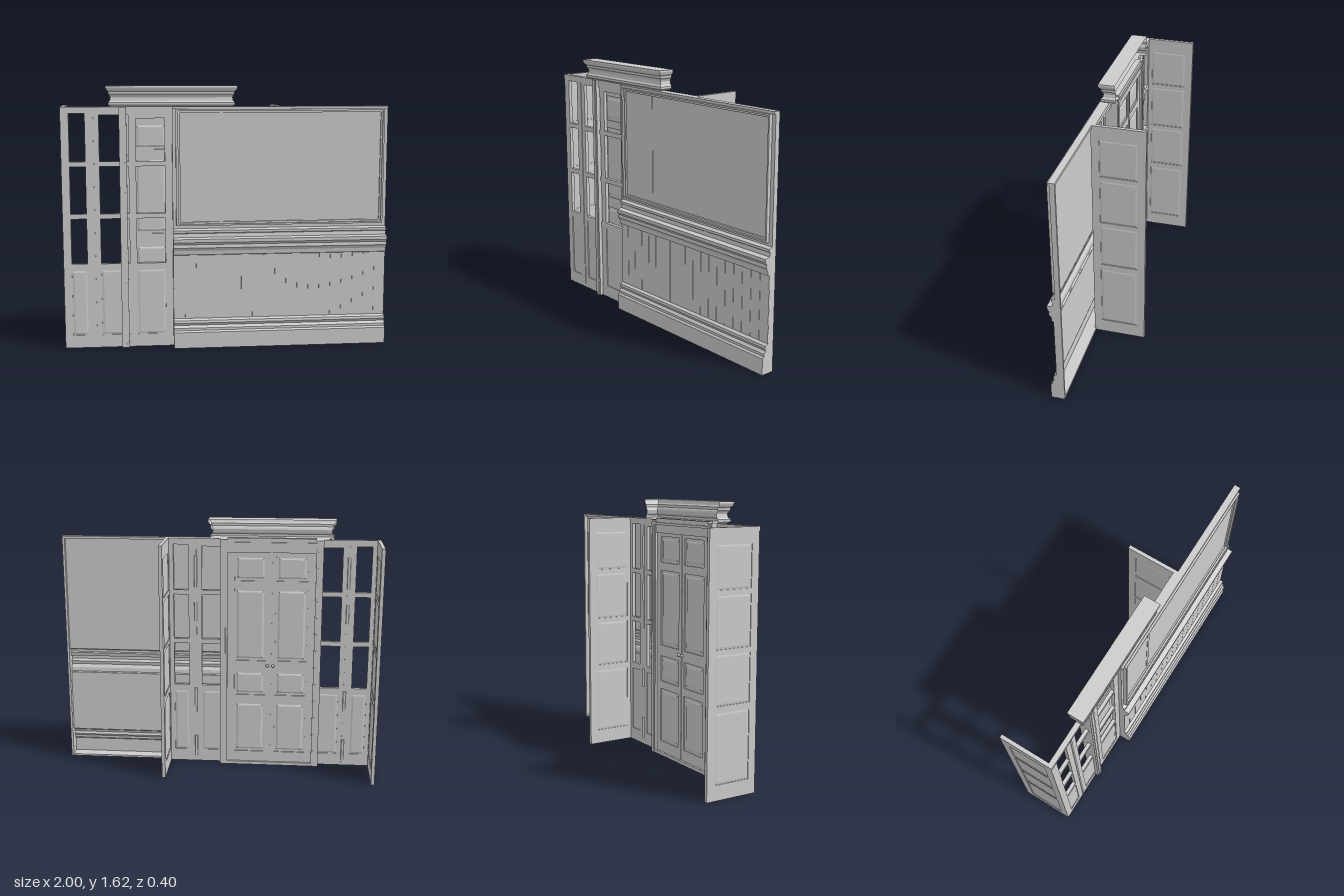
import * as THREE from 'three';

const CX = -0.33; // centre line of the screen and doorway
const H = 1.49;

export function createModel() {
  const root = new THREE.Group();
  const mat = new THREE.MeshStandardMaterial({ color: 0xcccccc, side: THREE.DoubleSide });

  const add = (parent, name, geo, x = 0, y = 0, z = 0) => {
    const m = new THREE.Mesh(geo, mat);
    m.name = name;
    m.position.set(x, y, z);
    parent.add(m);
    return m;
  };
  const group = (name, x = 0) => {
    const g = new THREE.Group();
    g.name = name;
    g.position.x = x;
    root.add(g);
    return g;
  };
  // box given by its limits
  const box = (parent, name, x0, x1, y0, y1, z0, z1) =>
    add(parent, name, new THREE.BoxGeometry(x1 - x0, y1 - y0, z1 - z0),
      (x0 + x1) / 2, (y0 + y1) / 2, (z0 + z1) / 2);

  const trace = (path, x0, x1, y0, y1) =>
    path.moveTo(x0, y0).lineTo(x1, y0).lineTo(x1, y1).lineTo(x0, y1).closePath();

  // flat board pierced by rectangular openings [x0, x1, y0, y1]
  const pierced = (parent, name, [x0, x1, y0, y1], holes, z0, z1) => {
    const s = new THREE.Shape();
    trace(s, x0, x1, y0, y1);
    for (const h of holes) {
      const p = new THREE.Path();
      trace(p, ...h);
      s.holes.push(p);
    }
    return add(parent, name, new THREE.ExtrudeGeometry(s, { depth: z1 - z0, bevelEnabled: false }), 0, 0, z0);
  };

  // sunk panel with a raised, bevelled field on both faces
  const panel = (parent, name, [x0, x1, y0, y1], zMid, t, margin, rise) => {
    box(parent, name, x0, x1, y0, y1, zMid - t / 2, zMid + t / 2);
    const s = new THREE.Shape();
    trace(s, x0 + margin, x1 - margin, y0 + margin, y1 - margin);
    add(parent, name + 'Field', new THREE.ExtrudeGeometry(s, {
      depth: t, bevelEnabled: true, bevelThickness: rise, bevelSize: 0.01, bevelSegments: 1,
    }), 0, 0, zMid - t / 2);
  };

  // ---- glazed screen, symmetrical about the centre line ----
  const screen = group('glazedScreen', CX);
  const bays = [[-0.62, -0.525, 1.45], [-0.44, -0.265, 1.44], [-0.22, -0.045, 1.42]];
  const rows = [[0.53, 0.81], [0.84, 1.13], [1.16, 0]];
  const openings = [], lower = [];
  for (const [a, b, top] of bays) {
    for (const [l, r] of [[a, b], [-b, -a]]) {
      rows.forEach(([y0, y1]) => openings.push([l, r, y0, y1 || top]));
      lower.push([l, r, 0.08, 0.49]);
    }
  }
  pierced(screen, 'screenFrame', [-0.67, 0.67, 0, H], [...openings, ...lower], 0.105, 0.128);
  lower.forEach((r) => panel(screen, 'lowerPanel', r, 0.1165, 0.012, 0.014, 0.003));
  box(screen, 'screenTopRail', -0.67, 0.67, 1.465, H, 0.101, 0.132);

  // leaf joints with hinges
  for (const s of [-1, 1]) {
    box(screen, 'leafJoint', s * 0.48 - 0.006, s * 0.48 + 0.006, 0.02, 1.45, 0.102, 0.132);
    for (const [y, len] of [[0.11, 0.14], [0.45, 0.12], [1.02, 0.12], [1.28, 0.2]])
      add(screen, 'hinge', new THREE.CylinderGeometry(0.009, 0.009, len, 8), s * 0.48, y, 0.104);
  }

  // ---- return wings ----
  const wingRows = [[0.09, 0.49], [0.53, 0.81], [0.84, 1.13], [1.16, 1.4]]
    .map(([a, b]) => [-0.08, 0.15, a, b]);
  for (const x of [-1, 0.318]) {
    const wing = group('sideWing', x);
    wing.rotation.y = Math.PI / 2;
    pierced(wing, 'wingFrame', [-0.128, 0.2, 0, H], wingRows, 0, 0.022);
    wingRows.forEach((r) => panel(wing, 'wingPanel', r, 0.011, 0.014, 0.012, 0.002));
  }

  // ---- double door with its case ----
  const door = group('doubleDoor', CX);
  const doorPanels = [];
  for (const [y0, y1] of [[0.09, 0.43], [0.48, 0.64], [0.71, 1.18], [1.23, 1.39]])
    doorPanels.push([-0.23, -0.03, y0, y1], [0.03, 0.23, y0, y1]);
  pierced(door, 'doorFrame', [-0.275, 0.275, 0.015, 1.42], doorPanels, 0.078, 0.102);
  doorPanels.forEach((r) => panel(door, 'doorPanel', r, 0.09, 0.01, 0.025, 0.005));
  box(door, 'meetingBead', -0.006, 0.006, 0.015, 1.42, 0.074, 0.08);
  for (const s of [-1, 1]) {
    add(door, 'knob', new THREE.SphereGeometry(0.01, 12, 8), s * 0.018, 0.68, 0.069);
    const mid = s * 0.2975;
    box(door, 'casePost', mid - 0.0225, mid + 0.0225, 0, H, 0.065, 0.148);
    box(door, 'casePostBead', mid - 0.01, mid + 0.01, 0, H, 0.06, 0.152);
  }
  box(door, 'threshold', -0.275, 0.275, 0, 0.02, 0.065, 0.105);
  box(door, 'caseHead', -0.275, 0.275, 1.41, 1.5, 0.068, 0.105);
  box(door, 'headBead', -0.315, 0.315, 1.46, 1.475, 0.06, 0.105);

  // ---- cornice: hollow shell of rings [height, projection], returned at both ends, open at the back ----
  const rings = [[1.49, 0.005], [1.5, 0.02], [1.515, 0.02], [1.525, 0.01], [1.545, 0.006],
    [1.555, 0.01], [1.565, 0.018], [1.58, 0.018], [1.59, 0.028], [1.605, 0.034], [1.615, 0.032]];
  const corners = rings.map(([y, d]) => {
    const w = 0.362 + d, f = 0.13 + d;
    return [[-w, y, 0.06], [-w, y, f], [w, y, f], [w, y, 0.06]];
  });
  const pos = [];
  const quad = (a, b, c, d) => pos.push(...a, ...b, ...c, ...a, ...c, ...d);
  for (let i = 0; i < corners.length - 1; i++)
    for (let k = 0; k < 3; k++)
      quad(corners[i][k], corners[i][k + 1], corners[i + 1][k + 1], corners[i + 1][k]);
  quad(...corners[corners.length - 1]);
  const corniceGeo = new THREE.BufferGeometry();
  corniceGeo.setAttribute('position', new THREE.Float32BufferAttribute(pos, 3));
  corniceGeo.computeVertexNormals();
  add(door, 'cornice', corniceGeo);

  // ---- panelled wall: a moulded sheet [z, y] swept along x, hollow behind ----
  const wall = group('panelledWall');
  const X0 = -0.33, X1 = 1, BACK = 0.12, SHEET = 0.008;
  const front = [[0.203, 0], [0.203, 0.1], [0.192, 0.11], [0.192, 0.125], [0.178, 0.14], [0.186, 0.155],
    [0.182, 0.17], [0.163, 0.182], [0.163, 0.58], [0.175, 0.585], [0.178, 0.61], [0.192, 0.63],
    [0.188, 0.65], [0.2, 0.665], [0.2, 0.685], [0.168, 0.692], [0.163, 0.715], [0.172, 0.72],
    [0.172, 0.735], [0.15, 0.745], [0.15, H]];
  const sweep = (name, outline, x0, x1) => {
    const s = new THREE.Shape(outline.map(([z, y]) => new THREE.Vector2(z, y)));
    const geo = new THREE.ExtrudeGeometry(s, { depth: x1 - x0, bevelEnabled: false });
    geo.rotateY(-Math.PI / 2);
    add(wall, name, geo, x1);
  };
  const rear = front.map(([z, y]) => [z - SHEET, y]).reverse();
  sweep('wallSheet', [...front, ...rear], X0, X1);
  const endOutline = [...front, [BACK, H], [BACK, 0]];
  sweep('wallEnd', endOutline, X0, X0 + 0.015);
  sweep('wallEnd', endOutline, X1 - 0.015, X1);
  box(wall, 'wallFoot', X0, X1, 0, 0.012, BACK, 0.202);
  box(wall, 'wallTopBead', X0, X1, 1.475, H, BACK, 0.16);

  // matchboard dado with fine joints
  const boards = 19, pitch = (X1 - X0) / boards;
  for (let i = 0; i < boards; i++)
    box(wall, 'dadoBoard', X0 + i * pitch + 0.001, X0 + (i + 1) * pitch - 0.001, 0.178, 0.583, 0.16, 0.165);

  // picture frame moulding in two steps
  const outer = [-0.31, 0.975, 0.765, 1.475], mid = [-0.295, 0.965, 0.775, 1.465], inner = [-0.283, 0.955, 0.787, 1.453];
  pierced(wall, 'frameOuterMoulding', outer, [mid], 0.148, 0.172);
  pierced(wall, 'frameInnerMoulding', mid, [inner], 0.148, 0.16);

  return root;
}
